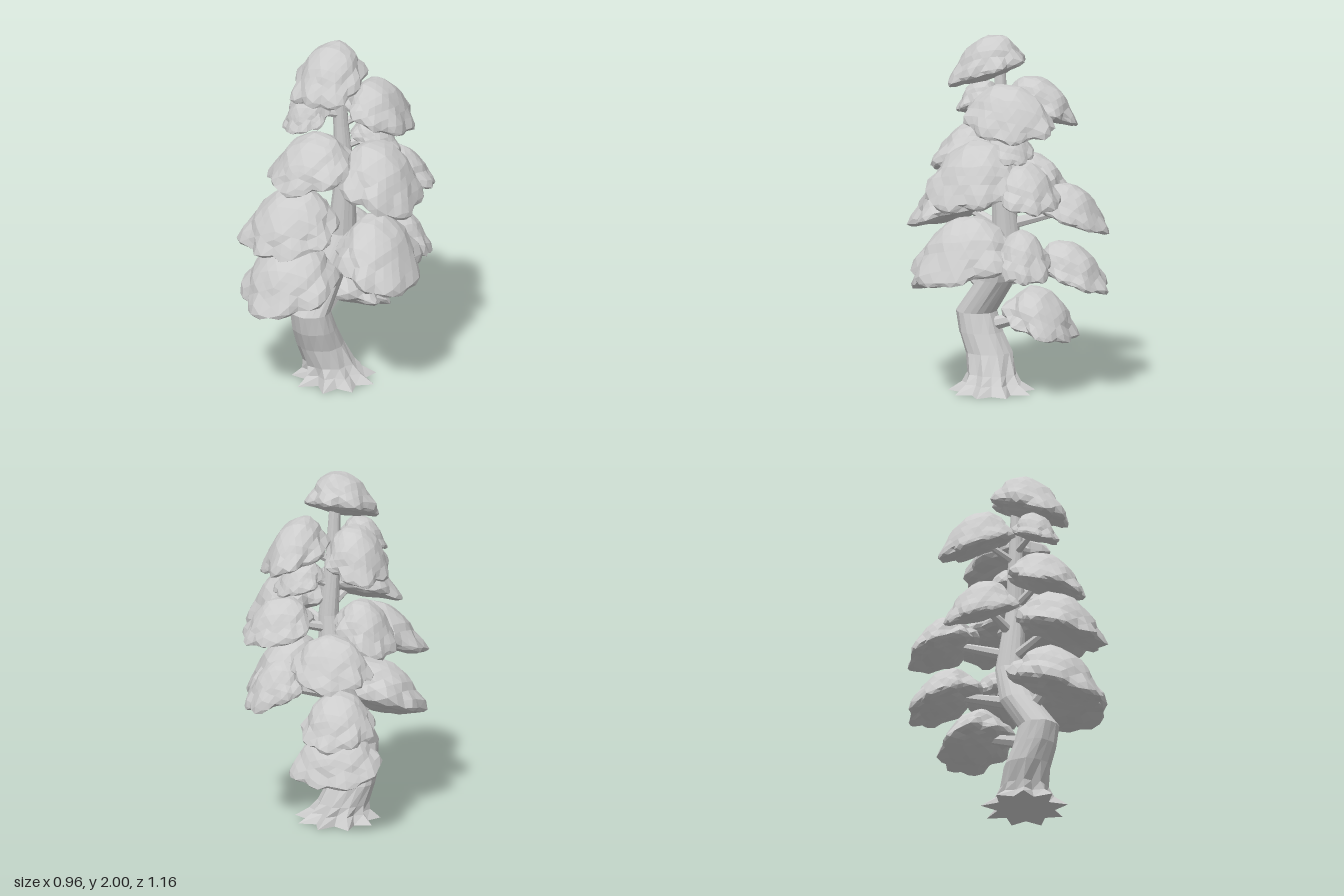
import * as THREE from 'three';

const grey = new THREE.MeshStandardMaterial({ color: 0xcccccc, flatShading: true });
grey.name = 'pale grey';

// Trunk centre line: x, y, z, radius
const SPINE = [
  [-0.045, 0, 0.07, 0.235], [-0.055, 0.05, 0.075, 0.165], [-0.075, 0.1, 0.08, 0.14],
  [-0.115, 0.21, 0.11, 0.13], [-0.125, 0.32, 0.16, 0.122], [-0.135, 0.43, 0.19, 0.112],
  [-0.105, 0.62, 0.06, 0.105], [-0.045, 0.85, -0.02, 0.08], [-0.015, 1.2, 0, 0.055],
  [-0.035, 1.5, 0.01, 0.042], [-0.045, 1.82, 0.02, 0.03],
];

// Foliage boxes: name, x range, y range, z range
const CLUMPS = [
  ['crownFoliage', -0.26, 0.14, 1.70, 2.00, -0.12, 0.32],
  ['upperFrontFoliage', -0.29, -0.03, 1.52, 1.73, 0.05, 0.31],
  ['upperRightFoliage', -0.40, -0.04, 1.46, 1.75, -0.36, 0.08],
  ['upperLeftFoliage', -0.04, 0.33, 1.46, 1.76, -0.36, 0.16],
  ['midFrontFoliage', -0.37, 0.13, 1.20, 1.50, 0.00, 0.44],
  ['midLeftFoliage', 0.00, 0.46, 1.08, 1.45, -0.20, 0.34],
  ['midBackFoliage', -0.02, 0.27, 1.33, 1.52, -0.23, 0.04],
  ['backLeftFoliage', 0.02, 0.42, 1.08, 1.34, -0.41, -0.05],
  ['midRightFoliage', -0.44, -0.08, 1.03, 1.32, -0.31, 0.12],
  ['frontFoliage', -0.47, 0.09, 0.87, 1.20, 0.10, 0.58],
  ['lowerLeftFoliage', 0.02, 0.48, 0.66, 1.03, -0.16, 0.42],
  ['lowerLeftRearFoliage', 0.06, 0.40, 0.69, 0.97, -0.37, -0.06],
  ['backFoliage', -0.37, 0.09, 0.90, 1.18, -0.58, -0.18],
  ['lowerFrontFoliage', -0.48, 0.07, 0.50, 0.87, 0.06, 0.58],
  ['lowerBackFoliage', -0.38, 0.04, 0.56, 0.85, -0.57, -0.13],
  ['lowestBackFoliage', -0.36, 0.14, 0.30, 0.59, -0.39, 0.01],
];

function seeded(seed) {
  let s = seed * 7919 + 17;
  return () => (s = (s * 16807) % 2147483647) / 2147483647;
}

// Point on the trunk's centre line at a height
function trunkAt(y) {
  let i = 0;
  while (i < SPINE.length - 2 && SPINE[i + 1][1] < y) i++;
  const [a, b] = [SPINE[i], SPINE[i + 1]];
  const t = (y - a[1]) / (b[1] - a[1]);
  return new THREE.Vector3().fromArray(a).lerp(new THREE.Vector3().fromArray(b), t);
}

// Bent trunk lofted through rings, with star-shaped roots and a hollow foot
function trunkGeometry() {
  const sides = 18, pos = [], index = [];
  SPINE.forEach(([cx, cy, cz, r], k) => {
    const flare = Math.max(0, 1 - cy / 0.14) * 0.26;
    for (let j = 0; j < sides; j++) {
      const a = (j / sides) * Math.PI * 2;
      const rr = r * (1 + flare * (j % 2 ? -1.2 : 0.1) + 0.03 * Math.sin(j * 2.3 + k * 0.9));
      pos.push(cx + Math.cos(a) * rr, cy, cz + Math.sin(a) * rr);
    }
  });
  const cap = (k, lift) => {
    const [x, y, z] = SPINE[k];
    pos.push(x, y + lift, z);
    return pos.length / 3 - 1;
  };
  const foot = cap(0, 0.03), tip = cap(SPINE.length - 1, 0), last = (SPINE.length - 1) * sides;
  for (let j = 0; j < sides; j++) {
    const n = (j + 1) % sides;
    for (let k = 0; k < SPINE.length - 1; k++) {
      const a = k * sides + j, b = k * sides + n;
      index.push(a, a + sides, b, b, a + sides, b + sides);
    }
    index.push(foot, j, n, tip, last + n, last + j);
  }
  const g = new THREE.BufferGeometry();
  g.setAttribute('position', new THREE.Float32BufferAttribute(pos, 3));
  g.setIndex(index);
  g.computeVertexNormals();
  return g;
}

// Puffy lobed pillow, tilted down away from the trunk, fitted to its box
function foliageGeometry(box, seed) {
  const rand = seeded(seed + 3);
  const c = box.getCenter(new THREE.Vector3());
  const out = c.clone().sub(trunkAt(c.y)).setY(0).normalize();
  const lobes = [{ c: new THREE.Vector3(0, 0.05, 0), r: 0.84 }];
  const count = 8, turn = rand() * 6;
  for (let i = 0; i < count; i++) {
    const a = turn + ((i + rand() * 0.4) / count) * Math.PI * 2;
    const d = 0.62 + rand() * 0.08;
    lobes.push({ c: new THREE.Vector3(Math.cos(a) * d, -0.16 + rand() * 0.2, Math.sin(a) * d), r: 0.36 + rand() * 0.06 });
  }
  const g = new THREE.IcosahedronGeometry(1, 4);
  const p = g.attributes.position, v = new THREE.Vector3();
  for (let i = 0; i < p.count; i++) {
    v.fromBufferAttribute(p, i).normalize();
    // Farthest lobe surface along this direction
    let r = 0;
    for (const l of lobes) {
      const d = v.dot(l.c), h = d * d - l.c.lengthSq() + l.r * l.r;
      if (h > 0) r = Math.max(r, d + Math.sqrt(h));
    }
    r *= 1 + 0.03 * Math.sin(v.x * 9 + seed) * Math.sin(v.y * 8 + seed * 2) + 0.02 * Math.sin(v.z * 11 + seed);
    v.multiplyScalar(r);
    v.y *= v.y < 0 ? 0.5 : 0.95;
    v.y -= 0.36 * v.dot(out) + 0.12 * (v.x * v.x + v.z * v.z);
    p.setXYZ(i, v.x, v.y, v.z);
  }
  g.computeBoundingBox();
  const from = g.boundingBox.getCenter(new THREE.Vector3());
  const scale = box.getSize(new THREE.Vector3()).divide(g.boundingBox.getSize(new THREE.Vector3()));
  g.translate(-from.x, -from.y, -from.z).scale(scale.x, scale.y, scale.z).translate(c.x, c.y, c.z);
  g.computeVertexNormals();
  return g;
}

// Tapered limb between two points
function limb(a, b, r0, r1) {
  const dir = b.clone().sub(a);
  const mesh = new THREE.Mesh(new THREE.CylinderGeometry(r1, r0, dir.length(), 7), grey);
  mesh.position.copy(a).add(b).multiplyScalar(0.5);
  mesh.quaternion.setFromUnitVectors(new THREE.Vector3(0, 1, 0), dir.normalize());
  return mesh;
}

export function createModel() {
  const tree = new THREE.Group();
  tree.name = 'tree';
  const trunk = new THREE.Mesh(trunkGeometry(), grey);
  trunk.name = 'trunk';
  tree.add(trunk);

  CLUMPS.forEach(([name, x0, x1, y0, y1, z0, z1], i) => {
    const box = new THREE.Box3(new THREE.Vector3(x0, y0, z0), new THREE.Vector3(x1, y1, z1));
    const clump = new THREE.Mesh(foliageGeometry(box, i + 1), grey);
    clump.name = name;
    tree.add(clump);
    if (i === 0) return;
    // Branch reaching from the trunk into the clump
    const start = trunkAt(y0 + 0.04), end = box.getCenter(new THREE.Vector3());
    const r = 0.05 - y0 * 0.017;
    const branch = limb(start, end, r, r * 0.5);
    branch.name = name.replace('Foliage', 'Branch');
    tree.add(branch);
  });
  return tree;
}
